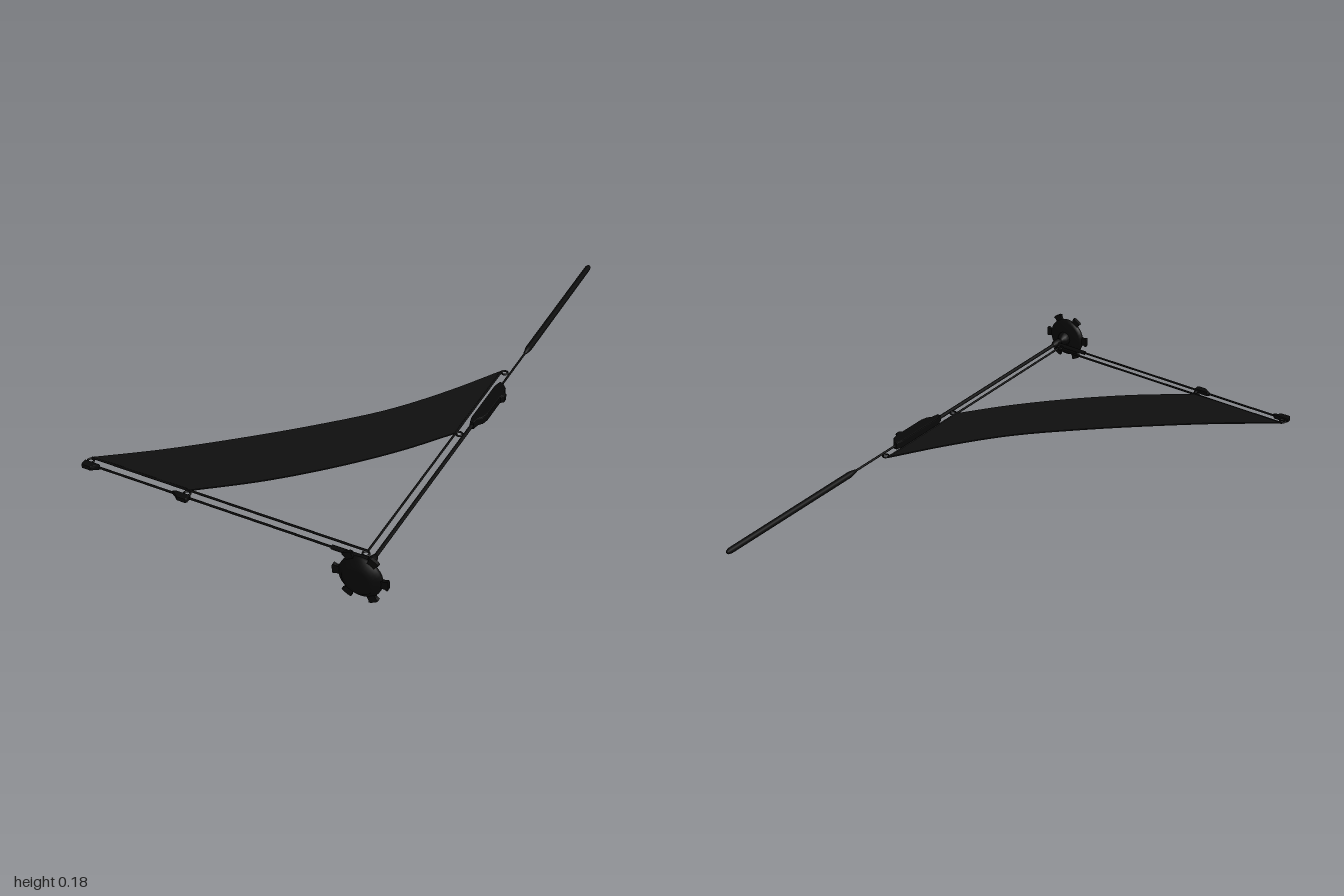
import * as THREE from 'three';

const Y = 0.092, SHAFT_X = 0.487;

export function createModel() {
  const group = new THREE.Group();
  const mat = (name, color) => {
    const m = new THREE.MeshStandardMaterial({ color });
    m.name = name;
    return m;
  };
  const black = mat('black metal', 0x080808);
  const cloth = mat('black cloth', 0x0e0e0e);
  cloth.side = THREE.DoubleSide;

  const add = (name, geometry, x, y, z, material = black, parent = group) => {
    const mesh = new THREE.Mesh(geometry, material);
    mesh.name = name;
    mesh.position.set(x, y, z);
    parent.add(mesh);
    return mesh;
  };

  // Turned part along z from [radius, z] pairs
  const turned = (name, profile, x, segments = 16) => {
    const pts = profile.map(([r, z]) => new THREE.Vector2(r, z));
    return add(name, new THREE.LatheGeometry(pts, segments).rotateX(Math.PI / 2), x, Y, 0);
  };

  // Straight thin rod between two points in the horizontal plane
  const rod = (name, a, b, r) => {
    const dx = b[0] - a[0], dz = b[1] - a[1];
    const g = new THREE.CylinderGeometry(r, r, Math.hypot(dx, dz), 8).rotateX(Math.PI / 2);
    const mesh = add(name, g, (a[0] + b[0]) / 2, Y, (a[1] + b[1]) / 2);
    mesh.rotation.y = Math.atan2(dx, dz);
    return mesh;
  };

  // Long shaft, tail grip and front hub
  rod('mainShaft', [SHAFT_X, 0.95], [SHAFT_X, 0.1], 0.007);
  rod('rearShaft', [SHAFT_X, 0.1], [SHAFT_X, -0.36], 0.004);
  turned('tailGrip', [[0, -1], [0.007, -0.998], [0.011, -0.985], [0.0115, -0.38], [0.006, -0.35], [0, -0.345]], SHAFT_X);
  turned('frontHub', [[0, 0.865], [0.009, 0.87], [0.015, 0.885], [0.015, 0.91], [0.01, 0.918],
    [0.01, 0.925], [0.022, 0.935], [0.03, 0.955], [0, 0.956]], SHAFT_X);

  // Toothed wheel
  const wheel = new THREE.Group();
  wheel.name = 'wheel';
  group.add(wheel);
  const rim = [[0, 0.948], [0.035, 0.95], [0.066, 0.958], [0.076, 0.966], [0.076, 0.976],
    [0.062, 0.984], [0.055, 0.994], [0.04, 0.998], [0, 0.998]];
  wheel.add(turned('wheelDisc', rim, SHAFT_X, 32));
  const tooth = new THREE.Shape([[0.066, -0.014], [0.084, -0.015], [0.094, -0.019], [0.097, -0.012],
    [0.097, 0.012], [0.094, 0.019], [0.084, 0.015], [0.066, 0.014]].map(p => new THREE.Vector2(...p)));
  const toothGeo = new THREE.ExtrudeGeometry(tooth, { depth: 0.012, bevelEnabled: false });
  for (let i = 0; i < 6; i++) {
    add('wheelTooth', toothGeo, SHAFT_X, Y, 0.966, black, wheel).rotation.z = i * Math.PI / 3;
  }

  // Flat plate with bevelled edges, outlined by [x, z] points
  const plate = (name, points, thickness) => {
    const shape = new THREE.Shape(points.map(([x, z]) => new THREE.Vector2(x, -z)));
    const b = 0.004;
    const g = new THREE.ExtrudeGeometry(shape, {
      depth: thickness - 2 * b, bevelEnabled: true, bevelSize: b, bevelOffset: -b, bevelThickness: b, bevelSegments: 2,
    });
    g.rotateX(-Math.PI / 2).translate(0, b - thickness / 2, 0);
    return add(name, g, 0, Y, 0);
  };
  plate('shaftGrip', [[0.48, 0.13], [0.494, 0.13], [0.5, 0.1], [0.512, 0.085], [0.518, 0.06], [0.518, -0.05],
    [0.529, -0.06], [0.529, -0.075], [0.518, -0.082], [0.514, -0.105], [0.494, -0.13], [0.48, -0.13],
    [0.473, -0.1], [0.473, 0.1]], 0.03);

  // Crossbar with its grip and end clips
  rod('crossbar', [-0.58, 0.892], [SHAFT_X, 0.892], 0.004);
  rod('crossbarGrip', [0.345, 0.892], [0.475, 0.892], 0.008);
  for (const x of [-0.585, -0.24]) {
    const right = x < -0.5 ? 1 : -1;
    const cx = x + 0.0325;
    const pts = [[-0.032, 0.884], [0.025, 0.884], [0.033, 0.892], [0.02, 0.9], [0.005, 0.912], [-0.028, 0.912], [-0.032, 0.905]];
    const outline = pts.map(([px, z]) => [cx + right * px, z]);
    plate('crossbarClip', outline, 0.018);
  }

  // Thin lines holding the cloth
  rod('frontLine', [-0.575, 0.858], [0.455, 0.858], 0.004);
  rod('sideLine', [0.455, 0.858], [0.455, -0.205], 0.004);

  // Rings lying flat between the lines and the bars
  const ringGeo = new THREE.TorusGeometry(0.011, 0.0035, 8, 20).rotateX(Math.PI / 2);
  for (const [x, z] of [[-0.57, 0.874], [-0.195, 0.874], [0.455, 0.872], [0.468, -0.205], [0.468, 0.19]]) {
    add('ring', ringGeo, x, Y, z);
  }

  // Curved cloth band
  const curve = pts => new THREE.CatmullRomCurve3(pts.map(([x, z]) => new THREE.Vector3(x, z, 0))).getPoints(32);
  const outer = curve([[0.456, -0.212], [0.33, -0.008], [0.19, 0.182], [0, 0.377], [-0.2, 0.56], [-0.39, 0.72], [-0.575, 0.858]]);
  const inner = curve([[-0.195, 0.858], [0, 0.703], [0.18, 0.53], [0.33, 0.36], [0.456, 0.19]]);
  const band = new THREE.Shape([...outer, ...inner].map(p => new THREE.Vector2(p.x, -p.y)));
  const bandGeo = new THREE.ExtrudeGeometry(band, { depth: 0.005, bevelEnabled: false });
  add('clothBand', bandGeo.rotateX(-Math.PI / 2), 0, Y - 0.0025, 0, cloth);

  return group;
}
